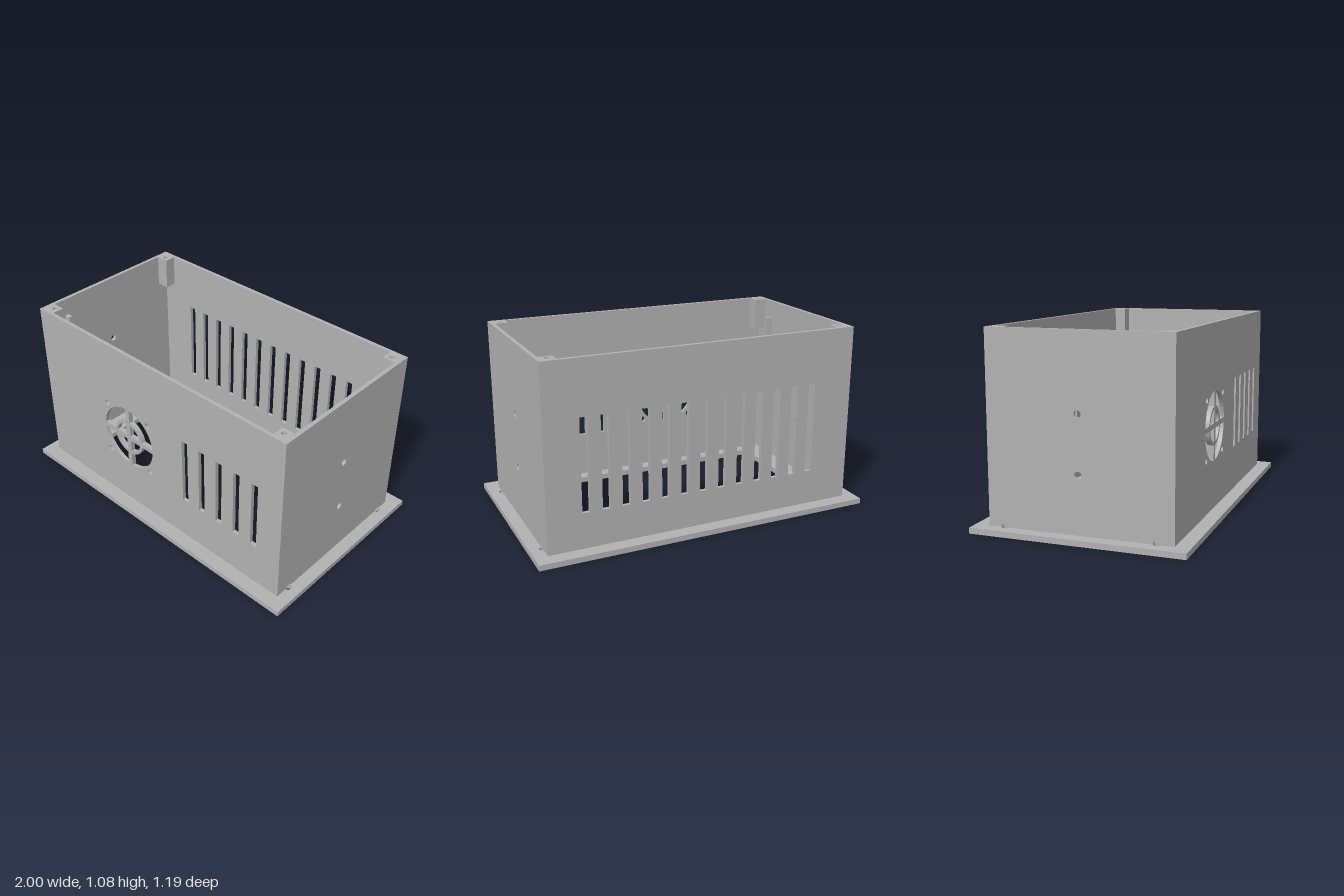
import * as THREE from 'three';

const W = 0.928, D = 0.511, T = 0.022;        // outer half width, half depth, wall thickness
const BASE = 0.032, BAND = 0.046, TOP = 1.077; // heights
const SCREW_Z = 0.418, SCREW_R = 0.019;

function rect(x0, y0, x1, y1, Type = THREE.Path) {
  const p = new Type();
  p.moveTo(x0, y0);
  p.lineTo(x1, y0);
  p.lineTo(x1, y1);
  p.lineTo(x0, y1);
  p.closePath();
  return p;
}

function circle(x, y, r, Type = THREE.Path) {
  const p = new Type();
  p.absarc(x, y, r, 0, Math.PI * 2, false);
  return p;
}

function extrude(shape, depth, curveSegments = 12) {
  return new THREE.ExtrudeGeometry(shape, { depth, bevelEnabled: false, curveSegments });
}

// Horizontal plate: outline in x and z, raised from y0 to y1
function slab(shape, y0, y1) {
  return extrude(shape, y1 - y0).rotateX(-Math.PI / 2).translate(0, y0, 0);
}

export function createModel() {
  const group = new THREE.Group();
  const grey = new THREE.MeshStandardMaterial({ color: 0xb2b2b2 });
  grey.name = 'grey plastic';
  const add = (name, geometry) => {
    const mesh = new THREE.Mesh(geometry, grey);
    mesh.name = name;
    group.add(mesh);
    return mesh;
  };

  // Base flange with a large opening and four screw holes
  const flange = rect(-1, -0.593, 1, 0.593, THREE.Shape);
  flange.holes.push(rect(-0.785, -0.418, 0.785, 0.418));
  for (const sx of [-1, 1]) for (const sz of [-1, 1]) {
    flange.holes.push(circle(sx * W, sz * SCREW_Z, SCREW_R));
  }
  add('baseFlange', slab(flange, 0, BASE));

  // Low band of the walls, notched around the screw holes
  const band = new THREE.Shape();
  band.moveTo(-W, -D);
  band.lineTo(W, -D);
  for (const z of [-SCREW_Z, SCREW_Z]) band.absarc(W, z, SCREW_R, -Math.PI / 2, Math.PI / 2, true);
  band.lineTo(W, D);
  band.lineTo(-W, D);
  for (const z of [SCREW_Z, -SCREW_Z]) band.absarc(-W, z, SCREW_R, Math.PI / 2, -Math.PI / 2, true);
  band.closePath();
  band.holes.push(rect(-W + T, -D + T, W - T, D - T));
  add('wallFoot', slab(band, BASE, BAND));

  // Front wall: fan opening, four fan screw holes and five vent slots
  const fx = -0.21, fy = 0.505, fr = 0.198;
  const front = rect(-W, BAND, W, TOP, THREE.Shape);
  front.holes.push(circle(fx, fy, fr));
  for (const sx of [-1, 1]) for (const sy of [-1, 1]) {
    front.holes.push(circle(fx + sx * 0.167, fy + sy * 0.167, 0.019));
  }
  for (let i = 0; i < 5; i++) {
    const x = 0.246 + i * 0.125;
    front.holes.push(rect(x - 0.021, 0.295, x + 0.021, 0.715));
  }
  add('frontWall', extrude(front, T, 24).translate(0, 0, D - T));

  // Fan grille: crossed bars and a ring
  const grilleDepth = T + 0.006, grilleZ = D - grilleDepth;
  const barMid = grilleZ + grilleDepth / 2;
  add('grilleBarAcross', new THREE.BoxGeometry(fr * 2, 0.03, grilleDepth).translate(fx, fy, barMid));
  add('grilleBarUpright', new THREE.BoxGeometry(0.03, fr * 2, grilleDepth).translate(fx, fy, barMid));
  const ring = circle(fx, fy, 0.112, THREE.Shape);
  ring.holes.push(circle(fx, fy, 0.094));
  add('grilleRing', extrude(ring, grilleDepth, 24).translate(0, 0, grilleZ));

  // Back wall with thirteen taller vent slots
  const back = rect(-W, BAND, W, TOP, THREE.Shape);
  for (let i = 0; i < 13; i++) {
    const x = 0.709 - i * 0.1145;
    back.holes.push(rect(x - 0.021, 0.237, x + 0.021, 0.765));
  }
  add('backWall', extrude(back, T).translate(0, 0, -D));

  // Side walls with two round holes each, and an upright slide rail inside
  for (const s of [-1, 1]) {
    const side = rect(-D + T, BAND, D - T, TOP, THREE.Shape);
    for (const y of [0.345, 0.657]) side.holes.push(circle(0, y, 0.02));
    const x0 = s > 0 ? W - T : -W;
    add(s > 0 ? 'leftWall' : 'rightWall', extrude(side, T).rotateY(Math.PI / 2).translate(x0, 0, 0));

    const railHeight = 0.94;
    add('slideRail', new THREE.BoxGeometry(0.037, railHeight, 0.026)
      .translate(s * (W - T - 0.0185), BASE + railHeight / 2, 0.343));
  }

  // Corner posts with screw holes for a lid
  for (const sx of [-1, 1]) for (const sz of [-1, 1]) {
    const xs = [sx * 0.83, sx * (W - T)].sort((a, b) => a - b);
    const ys = [sz * 0.42, sz * (D - T)].sort((a, b) => a - b);
    const post = rect(xs[0], ys[0], xs[1], ys[1], THREE.Shape);
    post.holes.push(circle(sx * 0.865, sz * 0.452, 0.015));
    add('cornerPost', slab(post, 0.885, TOP));
  }

  return group;
}
